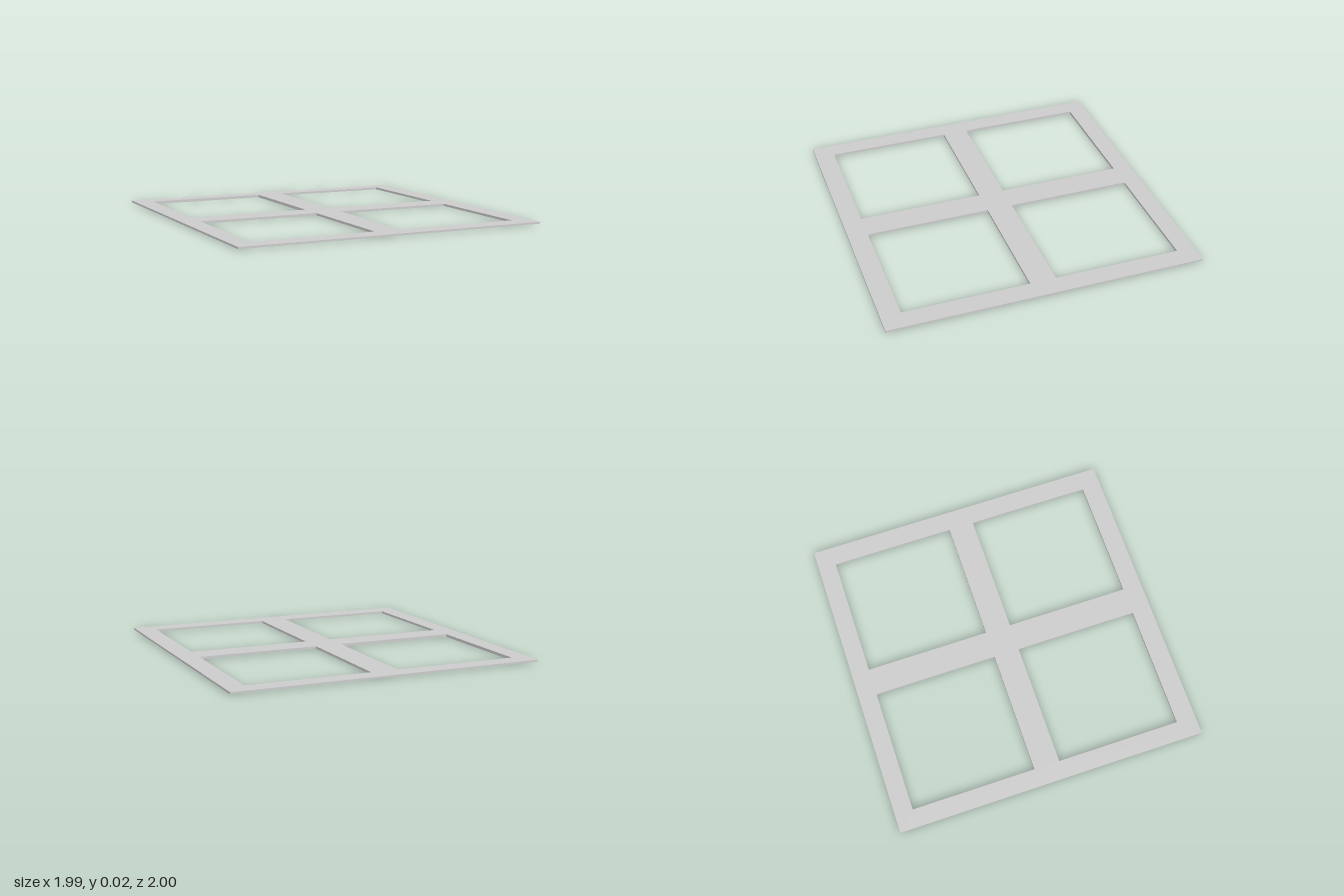
import * as THREE from 'three';

const BOTTOM = 0.006, TOP = 0.018, HALF_X = 0.995, HALF_Z = 1;

// Pane openings: x range, z range, lowest edge of the lining
const openings = [
  { name: 'backRight', x: [-0.88, -0.09], z: [-0.885, -0.085], low: 0 },
  { name: 'backLeft', x: [0.085, 0.87], z: [-0.885, -0.085], low: 0.003 },
  { name: 'frontRight', x: [-0.88, -0.09], z: [0.08, 0.875], low: 0.003 },
  { name: 'frontLeft', x: [0.085, 0.87], z: [0.08, 0.875], low: 0.003 },
];

// Rectangle in the shape plane, where shape y becomes -z
function rectangle(PathType, [x0, x1], [z0, z1]) {
  return new PathType([[x0, z1], [x1, z1], [x1, z0], [x0, z0]]
    .map(([x, z]) => new THREE.Vector2(x, -z)));
}

export function createModel() {
  const model = new THREE.Group();
  const material = new THREE.MeshStandardMaterial({ color: 0xcccccc, side: THREE.DoubleSide });

  // Flat window frame with four openings
  const outline = rectangle(THREE.Shape, [-HALF_X, HALF_X], [-HALF_Z, HALF_Z]);
  outline.holes = openings.map((o) => rectangle(THREE.Path, o.x, o.z));
  const slab = new THREE.ExtrudeGeometry(outline, { depth: TOP - BOTTOM, bevelEnabled: false });
  slab.rotateX(-Math.PI / 2);
  const frame = new THREE.Mesh(slab, material);
  frame.name = 'windowFrame';
  frame.position.y = BOTTOM;
  model.add(frame);

  // Thin linings that continue the opening walls just below the frame
  for (const { name, x, z, low } of openings) {
    const lining = new THREE.Group();
    lining.name = `${name}Lining`;
    const height = BOTTOM - low, y = (BOTTOM + low) / 2;
    const width = x[1] - x[0], depth = z[1] - z[0];
    for (const side of [0, 1]) {
      const across = new THREE.Mesh(new THREE.PlaneGeometry(width, height), material);
      across.name = side ? 'frontWall' : 'backWall';
      across.position.set((x[0] + x[1]) / 2, y, z[side]);
      across.rotation.y = side ? Math.PI : 0;
      const along = new THREE.Mesh(new THREE.PlaneGeometry(depth, height), material);
      along.name = side ? 'leftWall' : 'rightWall';
      along.position.set(x[side], y, (z[0] + z[1]) / 2);
      along.rotation.y = side ? -Math.PI / 2 : Math.PI / 2;
      lining.add(across, along);
    }
    model.add(lining);
  }
  return model;
}
